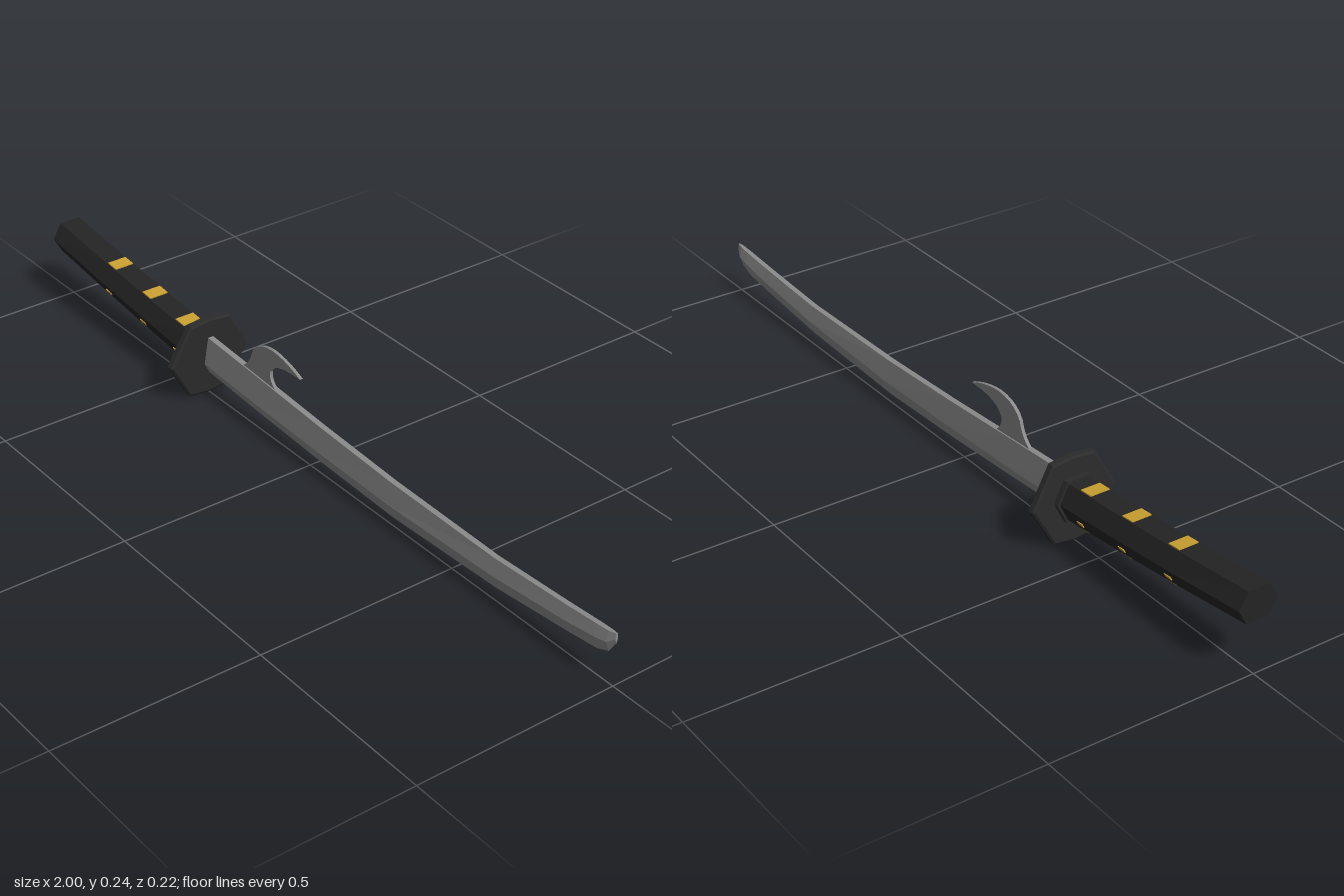
import * as THREE from 'three';

const paint = (name, color) => {
  const m = new THREE.MeshStandardMaterial({ color });
  m.name = name;
  return m;
};

// Skin a row of closed rings (each ordered top, +z, bottom, -z) with flat faces and end caps
function loft(rings) {
  const pos = [];
  const tri = (...pts) => pts.forEach((p) => pos.push(...p));
  const n = rings[0].length;
  for (let r = 0; r < rings.length - 1; r++) {
    for (let i = 0; i < n; i++) {
      const j = (i + 1) % n;
      const a = rings[r][i], b = rings[r][j], c = rings[r + 1][i], d = rings[r + 1][j];
      tri(a, b, c);
      tri(b, d, c);
    }
  }
  const first = rings[0], last = rings[rings.length - 1];
  for (let i = 1; i < n - 1; i++) {
    tri(first[0], first[i + 1], first[i]);
    tri(last[0], last[i], last[i + 1]);
  }
  const g = new THREE.BufferGeometry();
  g.setAttribute('position', new THREE.Float32BufferAttribute(pos, 3));
  g.computeVertexNormals();
  return g;
}

// Six-sided section with flat top and bottom
const hexRing = (x, top, bottom, w) => {
  const mid = (top + bottom) / 2;
  return [[x, top, -w * 0.55], [x, top, w * 0.55], [x, mid, w],
    [x, bottom, w * 0.55], [x, bottom, -w * 0.55], [x, mid, -w]];
};

// Blade section: narrow spine, wide ridge, thin cutting edge
const bladeRing = ([x, top, ridge, bottom, w]) => [
  [x, top, -w * 0.45], [x, top, w * 0.45], [x, ridge, w],
  [x, bottom, w * 0.12], [x, bottom, -w * 0.12], [x, ridge, -w]];

export function createModel() {
  const steel = paint('steel', 0x8a8a8a);
  const black = paint('blackWrap', 0x242424);
  const dark = paint('darkIron', 0x2b2b2b);
  const gold = paint('gold', 0xc9a030);

  const model = new THREE.Group();
  model.name = 'curvedSword';
  const add = (name, geometry, material, parent = model) => {
    const mesh = new THREE.Mesh(geometry, material);
    mesh.name = name;
    parent.add(mesh);
    return mesh;
  };

  // Curved grip: x, top, bottom
  const grip = [[-1, 0.207, 0.13], [-0.8, 0.186, 0.105], [-0.6, 0.168, 0.083], [-0.4, 0.154, 0.064]];
  add('grip', loft(grip.map(([x, t, b]) => hexRing(x, t, b, 0.049))), black);
  add('collar', loft([hexRing(-0.425, 0.161, 0.061, 0.056), hexRing(-0.4, 0.159, 0.058, 0.056)]), dark);

  // Gold inlays along the top and underside of the grip
  const inlays = new THREE.Group();
  inlays.name = 'goldInlays';
  model.add(inlays);
  const gripAt = (x) => {
    const i = Math.min(2, Math.floor((x + 1) / 0.2));
    const [a, b] = [grip[i], grip[i + 1]];
    const t = (x - a[0]) / (b[0] - a[0]);
    return {
      top: a[1] + (b[1] - a[1]) * t,
      bottom: a[2] + (b[2] - a[2]) * t,
      angle: Math.atan2(b[1] - a[1], b[0] - a[0]),
    };
  };
  for (const x of [-0.77, -0.62, -0.48]) {
    const g = gripAt(x);
    for (const y of [g.top, g.bottom]) {
      const plate = add('goldPlate', new THREE.BoxGeometry(0.034, 0.005, 0.05), gold, inlays);
      plate.position.set(x, y, 0);
      plate.rotation.z = g.angle;
    }
    // Small flecks on the lower side facets
    for (const s of [-1, 1]) {
      const fleck = add('goldFleck', new THREE.BoxGeometry(0.02, 0.01, 0.004), gold, inlays);
      const h = g.top - g.bottom;
      fleck.position.set(x, g.bottom + h * 0.2, s * 0.0358);
      fleck.rotation.set(s * Math.atan2(0.022, h / 2), 0, g.angle);
    }
  }

  // Hexagonal guard, slightly peaked above and below, leaning with the grip
  const half = [[0.102, 0], [0.096, 0.055], [0, 0.11], [-0.096, 0.055], [-0.102, 0], [-0.096, -0.055], [0, -0.11], [0.096, -0.055]];
  const guardRing = (x, k) => half.map(([y, z]) => [x, y * k, z * k]);
  const guard = add('guard', loft([guardRing(-0.011, 0.95), guardRing(-0.007, 1),
    guardRing(0.007, 1), guardRing(0.011, 0.95)]), dark);
  guard.position.set(-0.402, 0.104, 0);
  guard.rotation.z = -0.06;

  // Blade: x, spine, ridge, edge, half thickness
  const blade = [
    [-0.395, 0.156, 0.086, 0.058, 0.016],
    [-0.2, 0.144, 0.076, 0.046, 0.016],
    [0.05, 0.128, 0.067, 0.033, 0.016],
    [0.3, 0.116, 0.062, 0.025, 0.016],
    [0.64, 0.111, 0.071, 0.036, 0.015],
    [0.86, 0.122, 0.089, 0.056, 0.014],
    [0.95, 0.128, 0.1, 0.066, 0.013],
    [0.982, 0.13, 0.105, 0.079, 0.011],
    [1, 0.132, 0.119, 0.108, 0.004],
  ];
  add('blade', loft(blade.map(bladeRing)), steel);

  // Hook rising from the spine and sweeping toward the tip
  const hook = new THREE.Shape();
  hook.moveTo(-0.25, 0.135);
  hook.lineTo(-0.25, 0.148);
  hook.quadraticCurveTo(-0.224, 0.165, -0.215, 0.2);
  hook.quadraticCurveTo(-0.195, 0.236, -0.135, 0.238);
  hook.quadraticCurveTo(-0.085, 0.236, -0.033, 0.212);
  hook.quadraticCurveTo(-0.13, 0.215, -0.147, 0.178);
  hook.quadraticCurveTo(-0.15, 0.155, -0.13, 0.141);
  hook.lineTo(-0.13, 0.13);
  hook.closePath();
  const hookGeo = new THREE.ExtrudeGeometry(hook, { depth: 0.008, bevelEnabled: false, curveSegments: 5 });
  hookGeo.translate(0, 0, -0.004);
  add('spineHook', hookGeo, steel);

  return model;
}
